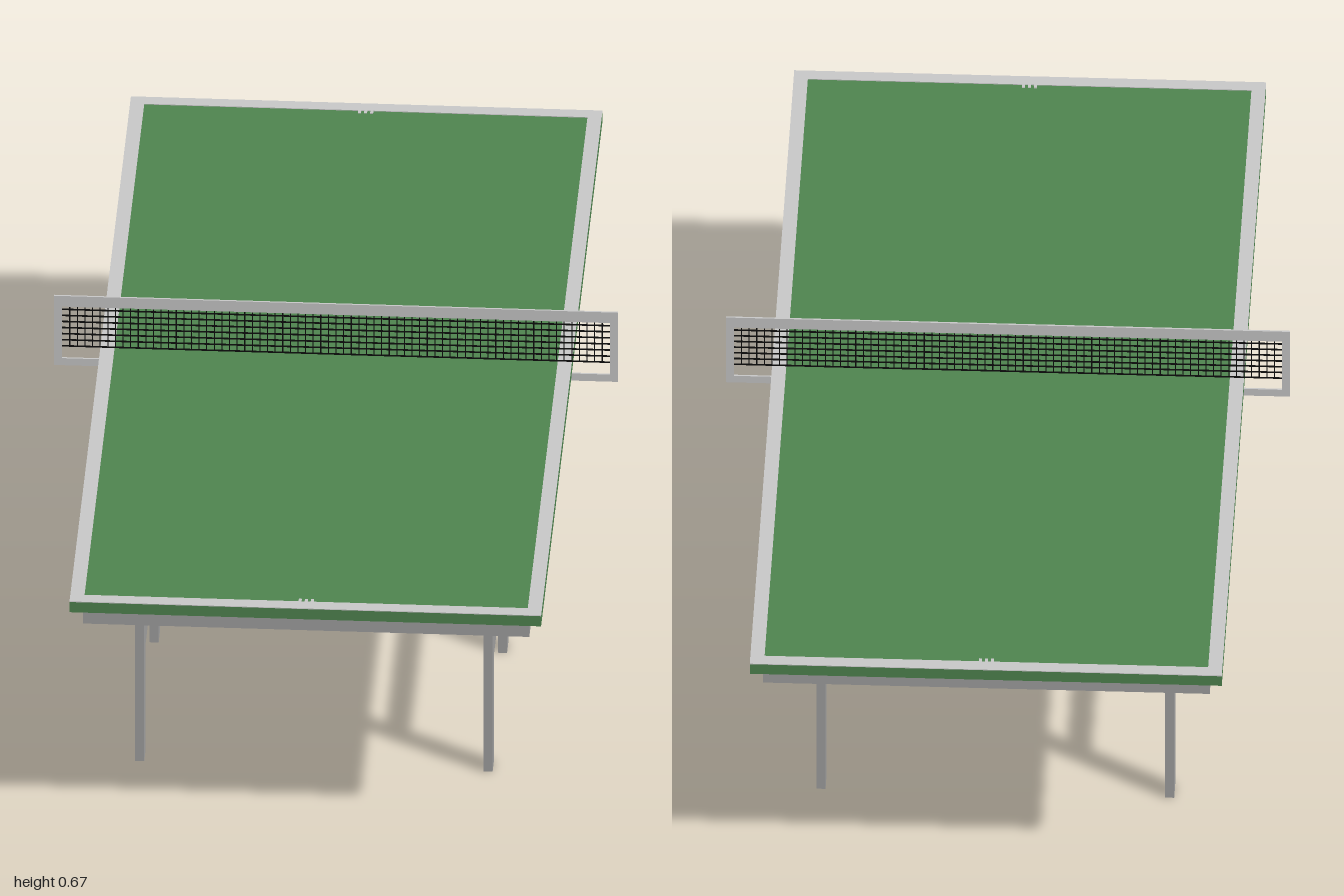
import * as THREE from 'three';

const mat = (name, color) => new THREE.MeshStandardMaterial({ name, color });

export function createModel() {
  const green = mat('table green', 0x4f844f);
  const white = mat('line white', 0xc8c8c8);
  const grey = mat('frame grey', 0xa0a0a0);
  const black = mat('net black', 0x0c0c0c);
  const model = new THREE.Group();
  model.name = 'tableTennisTable';

  // Box given by its limits on each axis
  const box = (name, material, [x0, x1], [y0, y1], [z0, z1], parent = model) => {
    const mesh = new THREE.Mesh(new THREE.BoxGeometry(x1 - x0, y1 - y0, z1 - z0), material);
    mesh.position.set((x0 + x1) / 2, (y0 + y1) / 2, (z0 + z1) / 2);
    mesh.name = name;
    parent.add(mesh);
    return mesh;
  };

  // Rectangular ring lying flat, from half sizes and border width
  const ring = (name, material, hx, hz, width, y0, y1) => {
    const rect = (T, x, z) => new T([[-x, -z], [x, -z], [x, z], [-x, z]].map(p => new THREE.Vector2(...p)));
    const shape = rect(THREE.Shape, hx, hz);
    shape.holes.push(rect(THREE.Path, hx - width, hz - width));
    const geo = new THREE.ExtrudeGeometry(shape, { depth: y1 - y0, bevelEnabled: false });
    geo.rotateX(-Math.PI / 2).translate(0, y0, 0);
    const mesh = new THREE.Mesh(geo, material);
    mesh.name = name;
    model.add(mesh);
  };

  // Playing surface, border line and hollow apron
  box('tableTop', green, [-0.465, 0.465], [0.527, 0.55], [-1, 1]);
  ring('borderLine', white, 0.465, 1, 0.028, 0.55, 0.5515);
  ring('apron', grey, 0.44, 0.97, 0.02, 0.485, 0.527);

  // Small centre marks at both ends
  for (const s of [-1, 1]) {
    const z = [s * 0.972, s * 0.962].sort((a, b) => a - b);
    for (const x of [-0.012, 0, 0.012]) box('centreMark', white, [x - 0.003, x + 0.003], [0.55, 0.5515], z);
  }

  // Four H-shaped leg frames
  for (const x of [-0.347, 0.34]) {
    for (const [zBack, zFront] of [[0.17, 0.64], [-0.627, -0.157]]) {
      const frame = new THREE.Group();
      frame.name = 'legFrame';
      model.add(frame);
      const xs = [x - 0.009, x + 0.009];
      for (const z of [zBack, zFront]) box('leg', grey, xs, [0, 0.527], [z - 0.023, z + 0.023], frame);
      box('crossbar', grey, xs, [0.241, 0.284], [zBack + 0.023, zFront - 0.023], frame);
    }
  }

  // Net frame: top band, lower rail and end posts
  const net = new THREE.Group();
  net.name = 'net';
  model.add(net);
  const fz = [-0.002, 0.002];
  box('netTopBand', white, [-0.556, 0.556], [0.646, 0.67], fz, net);
  box('netLowerRail', white, [-0.556, 0.556], [0.513, 0.529], fz, net);
  for (const s of [-1, 1]) {
    box('netPost', white, [s * 0.548 - 0.008, s * 0.548 + 0.008], [0.529, 0.646], fz, net);
  }

  // Net strings
  const t = 0.001;
  for (let i = 0; i < 7; i++) {
    const y = 0.556 + i * 0.0138;
    box('netRow', black, [-0.54, 0.54], [y - t * 1.3, y + t * 1.3], [-t, t], net);
  }
  const columns = 72;
  for (let i = 1; i < columns; i++) {
    const x = -0.54 + (1.08 * i) / columns;
    box('netColumn', black, [x - t, x + t], [0.556, 0.646], [-t, t], net);
  }
  return model;
}
